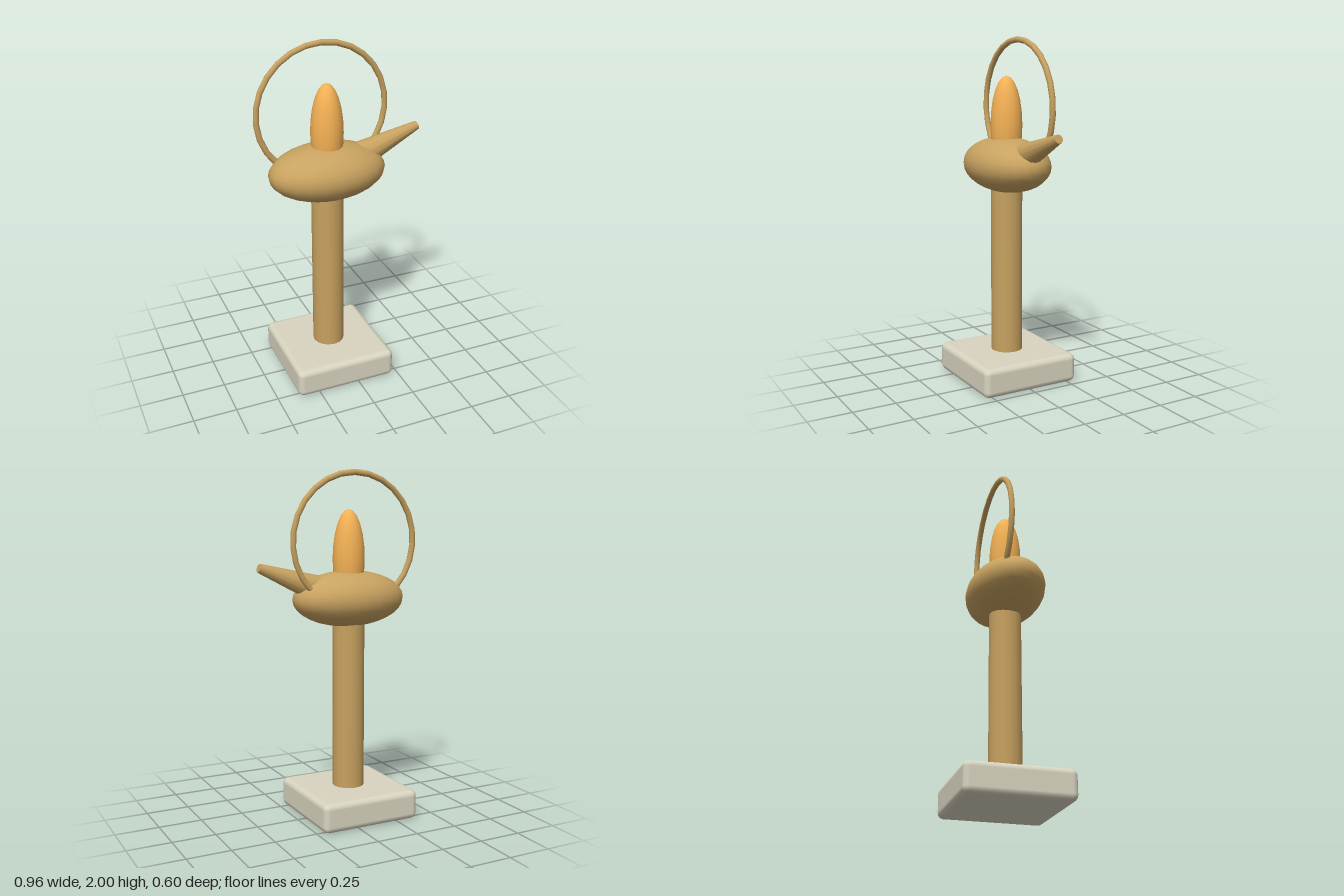
import * as THREE from 'three';
import { RoundedBoxGeometry } from 'three/addons/geometries/RoundedBoxGeometry.js';

const brass = new THREE.MeshStandardMaterial({ color: 0xc8a260, side: THREE.DoubleSide });
const flameOrange = new THREE.MeshStandardMaterial({ color: 0xf5b255 });
const stone = new THREE.MeshStandardMaterial({ color: 0xd8d4c0 });
const CX = -0.08; // axis of the column

export function createModel() {
  const model = new THREE.Group();
  const add = (name, geometry, material, x, y, z = 0) => {
    const mesh = new THREE.Mesh(geometry, material);
    mesh.name = name;
    mesh.position.set(x, y, z);
    model.add(mesh);
    return mesh;
  };

  // Plinth and column
  add('base', new RoundedBoxGeometry(0.6, 0.17, 0.6, 2, 0.035), stone, CX, 0.085);
  add('column', new THREE.CylinderGeometry(0.092, 0.092, 1.06, 16), brass, CX, 0.69);

  // Flattened lamp bowl
  const bowl = new THREE.SphereGeometry(1, 24, 16).scale(0.34, 0.16, 0.22);
  add('lampBowl', bowl, brass, CX, 1.275);

  // Tapered spout, rising 20 degrees towards the left
  const length = 0.4;
  const tilt = THREE.MathUtils.degToRad(20);
  const spout = add('spout', new THREE.CylinderGeometry(0.025, 0.081, length, 12), brass,
    0.473 - Math.cos(tilt) * length / 2, 1.465 - Math.sin(tilt) * length / 2);
  spout.rotation.z = tilt - Math.PI / 2;

  // Open hoop handle, three quarters of a ring sunk into the bowl
  const handle = add('handle', new THREE.TorusGeometry(0.38, 0.017, 8, 20, Math.PI * 1.5),
    brass, CX, 1.603, -0.072);
  handle.rotation.z = -Math.PI / 4;

  // Flame
  const flame = new THREE.SphereGeometry(1, 16, 12).scale(0.092, 0.28, 0.092);
  add('flame', flame, flameOrange, CX, 1.5);

  return model;
}
